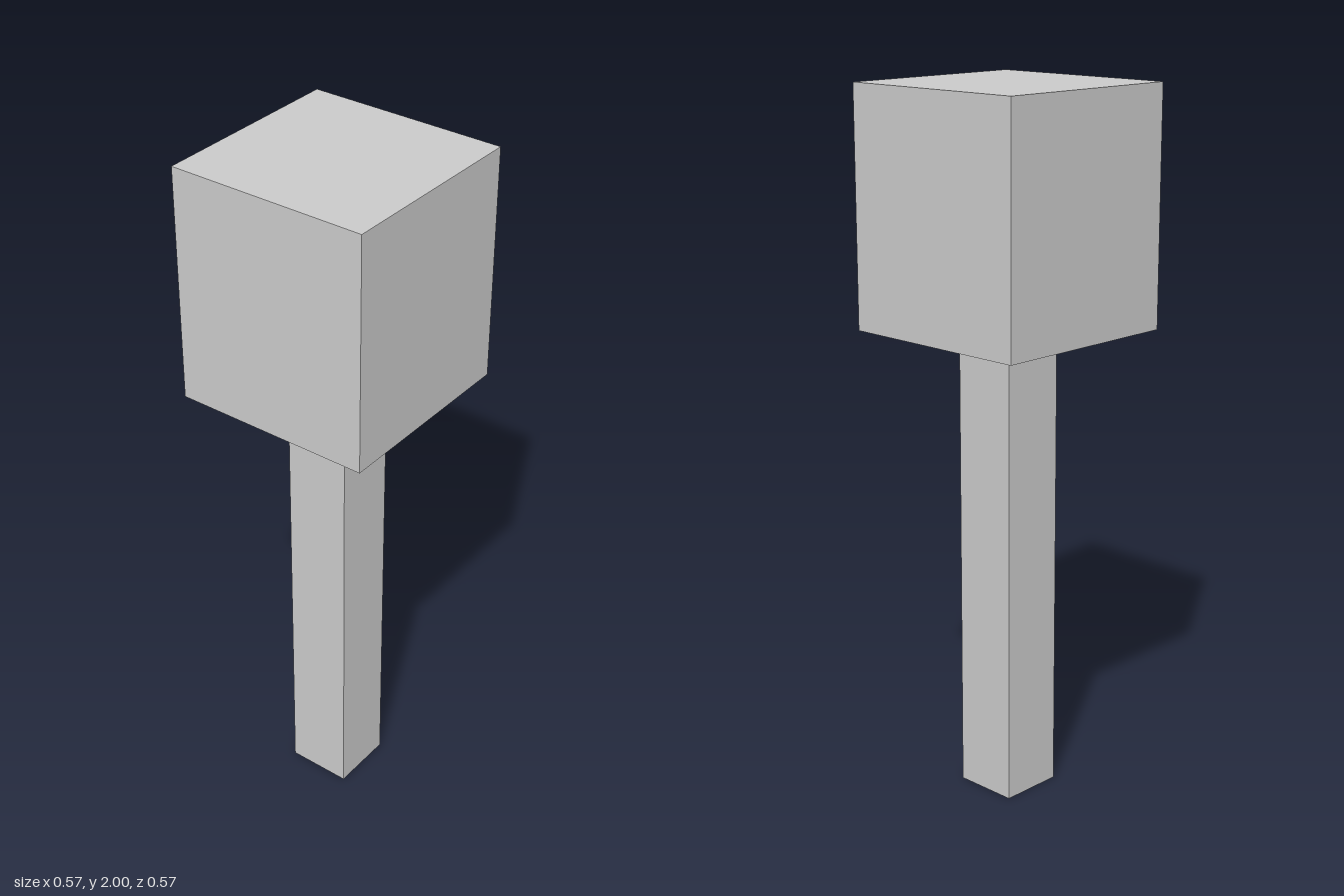
import * as THREE from 'three';

export function createModel() {
  const group = new THREE.Group();
  const material = new THREE.MeshStandardMaterial({ color: 0xcccccc, flatShading: true });

  // Square block between two heights, centred on the vertical axis
  function addBlock(name, width, bottom, top) {
    const mesh = new THREE.Mesh(new THREE.BoxGeometry(width, top - bottom, width), material);
    mesh.name = name;
    mesh.position.y = (bottom + top) / 2;
    group.add(mesh);
  }

  // Slim square post
  addBlock('post', 0.187, 0, 1.338);
  // Wide block on top
  addBlock('head', 0.572, 1.338, 2);

  return group;
}
